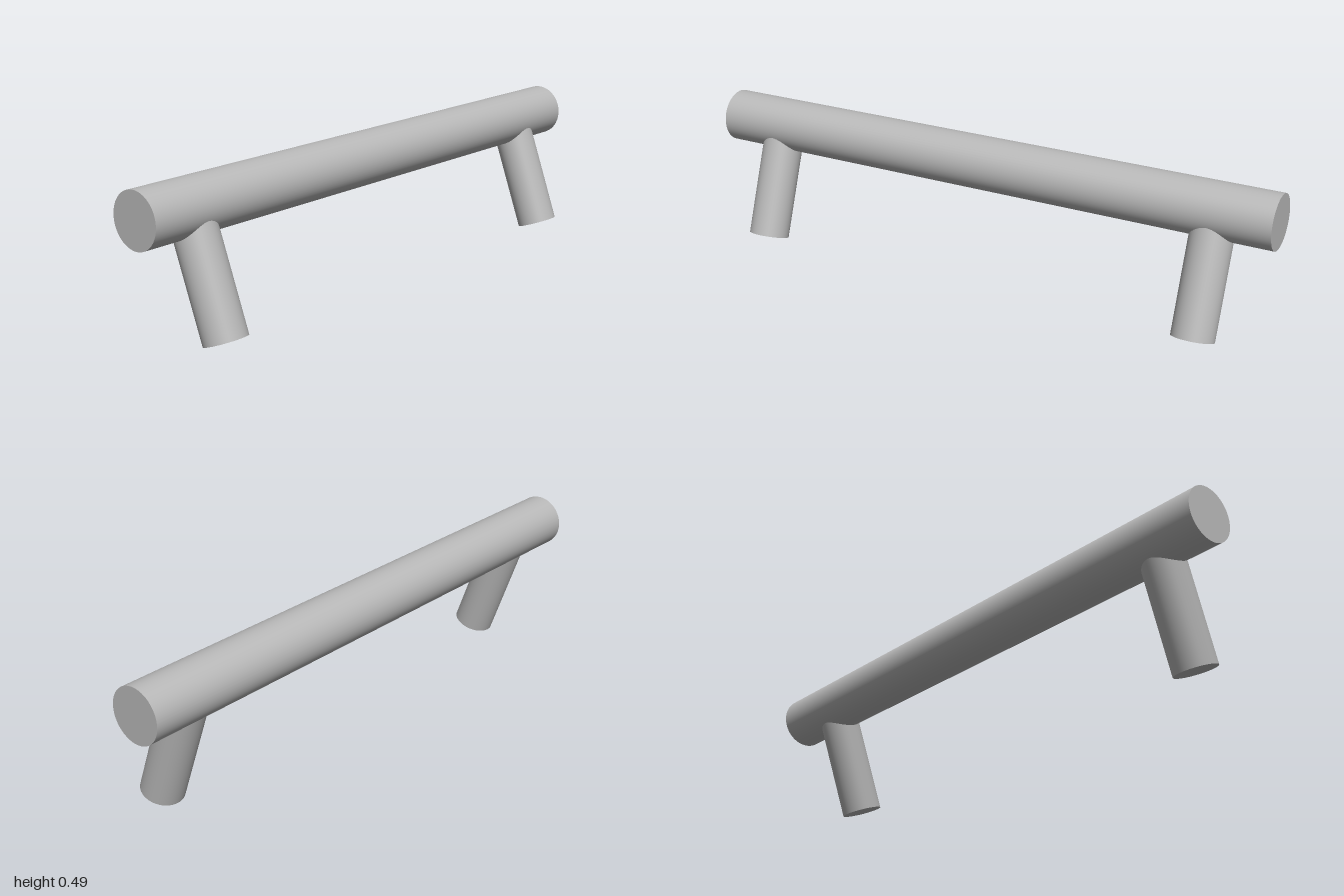
import * as THREE from 'three';

const BAR_RADIUS = 0.089;
const POST_RADIUS = 0.069;
const barCentre = new THREE.Vector3(-0.057, 0.401, 0);
const postFoot = new THREE.Vector3(0.08, 0.0237, 0);

export function createModel() {
  const group = new THREE.Group();
  group.name = 'pullHandle';
  const steel = new THREE.MeshStandardMaterial({ color: 0xb8b8b8 });
  steel.name = 'brushed steel';

  // Long round grip running front to back
  const bar = new THREE.Mesh(new THREE.CylinderGeometry(BAR_RADIUS, BAR_RADIUS, 2, 64), steel);
  bar.name = 'gripBar';
  bar.rotation.x = Math.PI / 2;
  bar.position.copy(barCentre);
  group.add(bar);

  // Two slanted posts, each ending on the bar's axis
  const axis = barCentre.clone().sub(postFoot);
  const postGeometry = new THREE.CylinderGeometry(POST_RADIUS, POST_RADIUS, axis.length(), 48);
  const middle = barCentre.clone().add(postFoot).multiplyScalar(0.5);
  for (const [name, z] of [['frontPost', 0.8], ['backPost', -0.8]]) {
    const post = new THREE.Mesh(postGeometry, steel);
    post.name = name;
    post.position.set(middle.x, middle.y, z);
    post.rotation.z = Math.atan2(-axis.x, axis.y);
    group.add(post);
  }
  return group;
}
